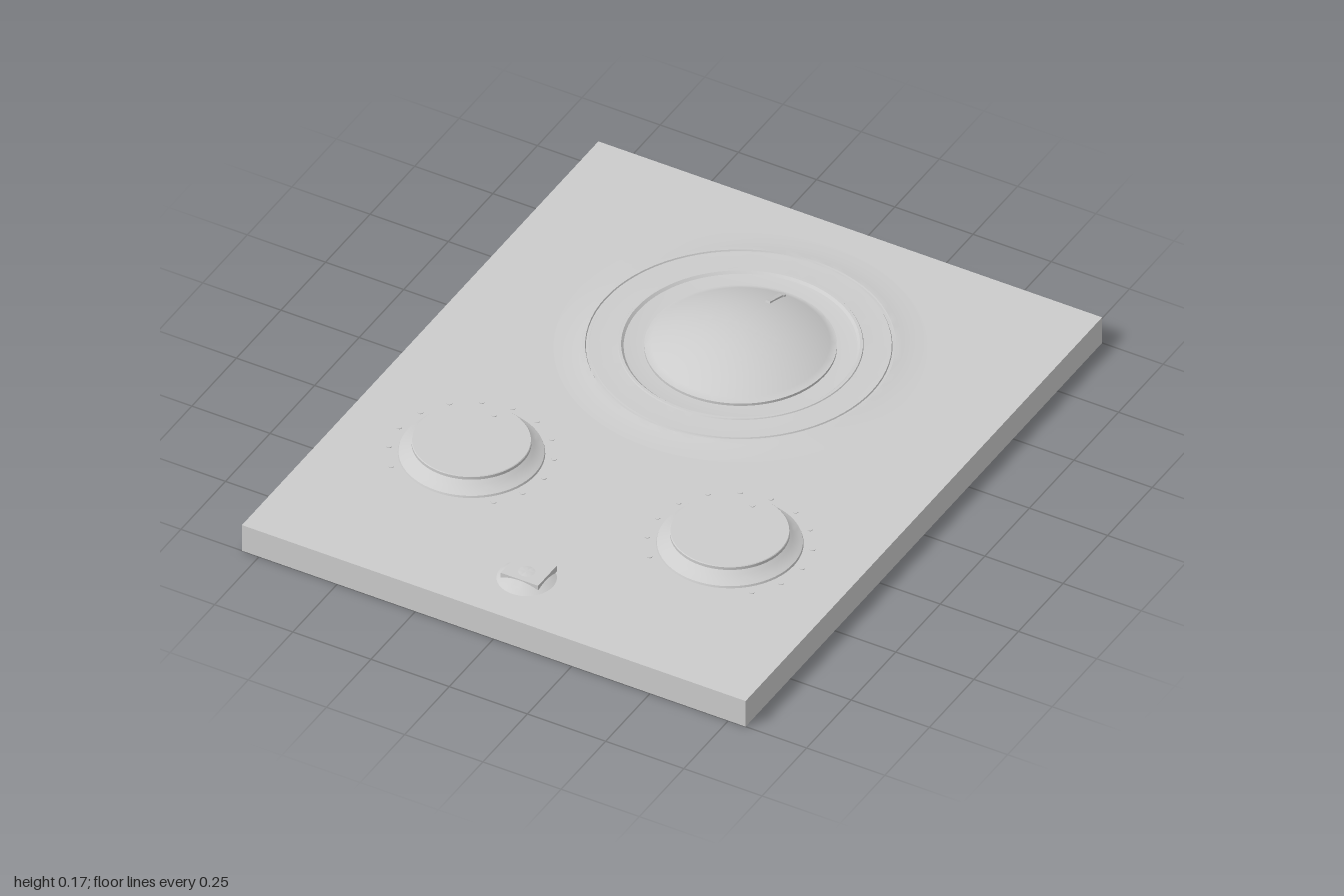
import * as THREE from 'three';
import { toCreasedNormals } from 'three/addons/utils/BufferGeometryUtils.js';

export function createModel() {
  const model = new THREE.Group();
  model.name = 'controlPanel';
  const grey = new THREE.MeshStandardMaterial({ color: 0xcccccc });
  grey.name = 'plain grey';
  const TOP = 0.09;

  const add = (name, geometry, x = 0, y = 0, z = 0, parent = model) => {
    const mesh = new THREE.Mesh(geometry, grey);
    mesh.name = name;
    mesh.position.set(x, y, z);
    parent.add(mesh);
    return mesh;
  };
  // Turned part from [radius, height] pairs, keeping sharp rims
  const turned = (profile, segments = 64) => toCreasedNormals(
    new THREE.LatheGeometry(profile.map(([r, y]) => new THREE.Vector2(r, y)), segments), 0.45);
  // Shallow cap profile running from the rim to the centre
  const capProfile = (radius, base, height, steps) => Array.from({ length: steps + 1 }, (_, i) => {
    const t = 1 - i / steps;
    return [radius * t, base + height * (1 - t * t)];
  });

  // Base plate, open under the dial
  const dialZ = -0.385;
  const outline = new THREE.Shape([[-0.805, -1], [0.805, -1], [0.805, 1], [-0.805, 1]]
    .map(([x, y]) => new THREE.Vector2(x, y)));
  const hole = new THREE.Path();
  hole.absarc(0, -dialZ, 0.22, 0, Math.PI * 2, true);
  outline.holes.push(hole);
  const plate = new THREE.ExtrudeGeometry(outline, { depth: TOP, bevelEnabled: false, curveSegments: 32 });
  plate.rotateX(-Math.PI / 2);
  add('basePlate', plate);

  // Soft dent on the underside
  add('undersideDent', turned([[0, 0.022], [0.1, 0.021], [0.155, 0.018], [0.18, 0.012], [0.2, 0.004], [0.22, 0]]),
    0, 0, dialZ);

  // Large dial: swelling surround, stepped rings, dome and pointer
  const dial = new THREE.Group();
  dial.name = 'largeDial';
  dial.position.z = dialZ;
  model.add(dial);
  add('dialSurround', turned([
    [0.52, 0.0902], [0.48, 0.092], [0.45, 0.096], [0.432, 0.099], [0.43, 0.095], [0.422, 0.095],
    [0.42, 0.099], [0.38, 0.098], [0.342, 0.1], [0.34, 0.103], [0.332, 0.103], [0.325, 0.096],
    [0.29, 0.092], [0.26, 0.092], [0.2, 0.092],
  ], 80), 0, 0, 0, dial);
  add('dialDome', turned([[0.268, 0.091], [0.268, 0.1], ...capProfile(0.265, 0.1, 0.065, 16)], 80), 0, 0, 0, dial);
  const pointer = add('dialPointer', new THREE.BoxGeometry(0.014, 0.008, 0.09), 0, 0.131, -0.195, dial);
  pointer.rotation.x = -0.34;
  add('dialPointerTip', new THREE.CylinderGeometry(0.011, 0.011, 0.008, 12), 0, 0.118, -0.232, dial).rotation.x = -0.4;

  // Pair of knobs with flared skirts and tick dots
  const skirt = turned([[0.205, TOP], [0.203, 0.096], [0.195, 0.1], [0.184, 0.106], [0.174, 0.114], [0.163, 0.123]]);
  const cap = turned([[0, 0.123], [0.163, 0.123], [0.167, 0.125], [0.167, 0.134], [0.165, 0.136], [0, 0.136]]);
  const dot = new THREE.CylinderGeometry(0.008, 0.008, 0.004, 10);
  for (const side of [-1, 1]) {
    const knob = new THREE.Group();
    knob.name = side > 0 ? 'leftKnob' : 'rightKnob';
    knob.position.set(side * 0.413, 0, 0.4);
    model.add(knob);
    add('knobSkirt', skirt, 0, 0, 0, knob);
    add('knobCap', cap, 0, 0, 0, knob);
    add('knobMarker', dot, 0, 0.136, -0.127, knob);
    for (let i = -6; i <= 6; i++) {
      const a = i * Math.PI / 8;
      add('tickDot', dot, Math.sin(a) * 0.231, TOP, -Math.cos(a) * 0.231, knob);
    }
  }

  // Small push button: low dome carrying a square pad
  add('buttonDome', turned(capProfile(0.084, TOP, 0.024, 8), 40), 0, 0, 0.815);
  add('buttonPad', new THREE.BoxGeometry(0.12, 0.02, 0.105), 0, 0.102, 0.804);

  return model;
}
